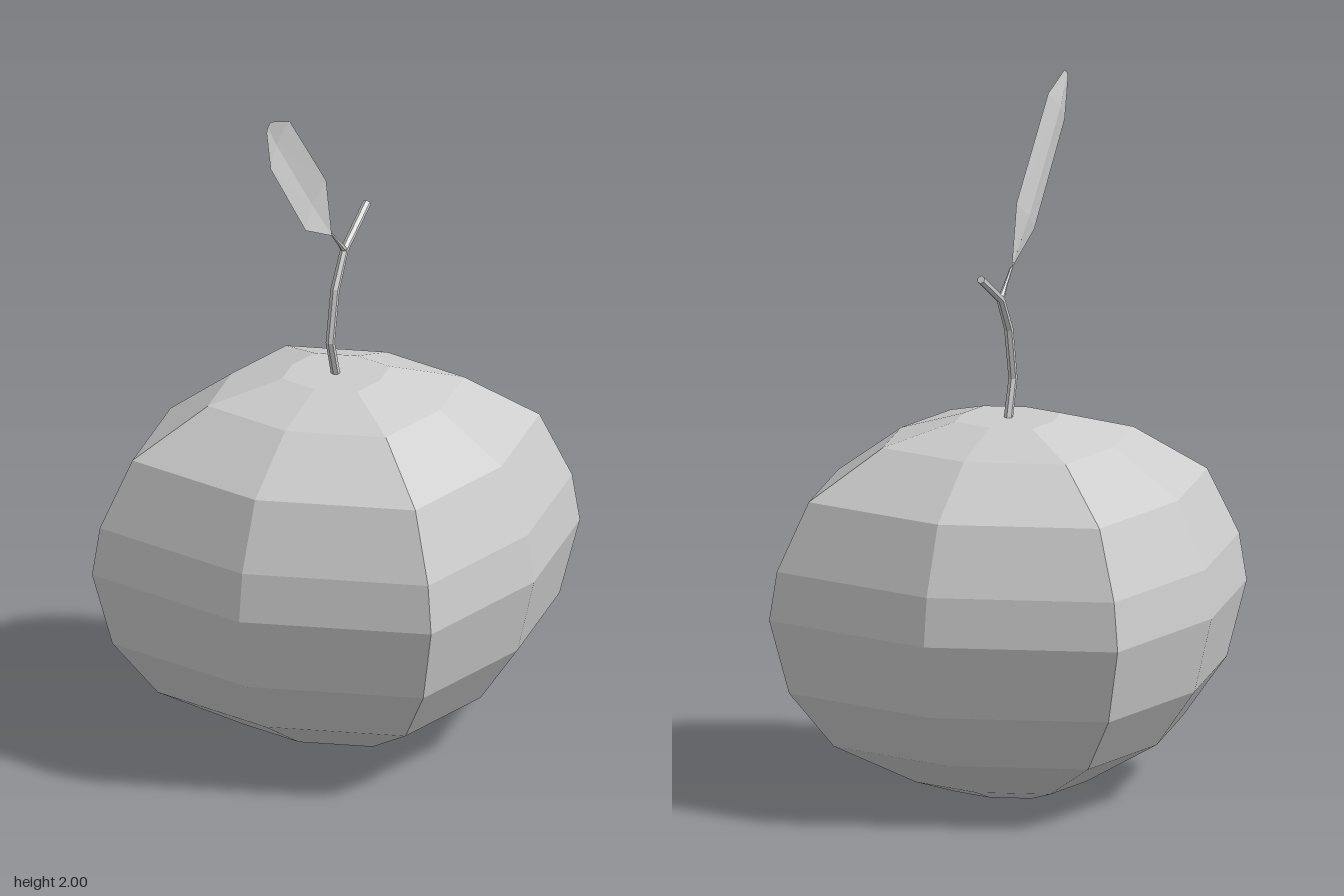
import * as THREE from 'three';

const grey = new THREE.MeshStandardMaterial({ color: 0xcccccc, flatShading: true });
grey.name = 'plain grey';
const leafGrey = grey.clone();
leafGrey.name = 'plain grey leaf';
leafGrey.side = THREE.DoubleSide;

// Eight-sided lathe, its diagonal corners pushed out to give a squarish plan
function fruitGeometry() {
  const profile = [
    [0, 0], [0.135, 0.002], [0.24, 0.04], [0.455, 0.165], [0.571, 0.33], [0.623, 0.547],
    [0.603, 0.687], [0.52, 0.882], [0.327, 1.022], [0.138, 1.08], [0, 1.08],
  ].map(([r, y]) => new THREE.Vector2(r, y));
  const geometry = new THREE.LatheGeometry(profile, 8);
  const pos = geometry.attributes.position;
  for (let i = 0; i < pos.count; i++) {
    const x = pos.getX(i), z = pos.getZ(i);
    const corner = Math.abs(x) > 1e-4 && Math.abs(z) > 1e-4;
    pos.setX(i, x * (corner ? 1.21 : 1));
    pos.setZ(i, z * (corner ? 1.113 : 1.025));
  }
  geometry.computeVertexNormals();
  return geometry;
}

function buildGeometry(points, index) {
  const geometry = new THREE.BufferGeometry();
  geometry.setAttribute('position', new THREE.Float32BufferAttribute(points.flat(), 3));
  geometry.setIndex(index);
  geometry.computeVertexNormals();
  return geometry;
}

// Capped rod along a bent path in the x = 0 plane; path entries are [z, y, radius]
function rodGeometry(path, sides = 6) {
  const points = [], index = [];
  path.forEach(([z, y, r], i) => {
    const before = path[Math.max(i - 1, 0)], after = path[Math.min(i + 1, path.length - 1)];
    const t = new THREE.Vector2(after[0] - before[0], after[1] - before[1]).normalize();
    for (let j = 0; j < sides; j++) {
      const a = (j / sides) * Math.PI * 2;
      points.push([r * Math.sin(a), y - r * Math.cos(a) * t.x, z + r * Math.cos(a) * t.y]);
      if (i === path.length - 1) continue;
      const p = i * sides + j, q = i * sides + (j + 1) % sides;
      index.push(p, q, p + sides, q, q + sides, p + sides);
    }
  });
  const last = (path.length - 1) * sides;
  for (let j = 1; j < sides - 1; j++) {
    index.push(0, j + 1, j, last, last + j, last + j + 1);
  }
  return buildGeometry(points, index);
}

// Leaf blade from cross-sections: lower edge, midrib and upper edge
function leafGeometry() {
  const sections = [
    [0.022, 1.505, 0.028, 1.511, 0],
    [0.2, 1.585, 0.065, 1.69, -0.012],
    [0.43, 1.855, 0.305, 1.957, -0.013],
    [0.457, 1.975, 0.43, 2.0, -0.003],
  ];
  const points = [], index = [];
  sections.forEach(([z0, y0, z1, y1, rib], i) => {
    points.push([0, y0, z0], [rib, (y0 + y1) / 2, (z0 + z1) / 2], [0, y1, z1]);
    if (i === sections.length - 1) return;
    for (const p of [i * 3, i * 3 + 1]) index.push(p, p + 3, p + 1, p + 1, p + 3, p + 4);
  });
  return buildGeometry(points, index);
}

export function createModel() {
  const model = new THREE.Group();
  model.name = 'fruit';
  const add = (name, geometry, material = grey) => {
    const mesh = new THREE.Mesh(geometry, material);
    mesh.name = name;
    model.add(mesh);
  };

  add('body', fruitGeometry());
  add('stem', rodGeometry([
    [0.0, 1.07, 0.013], [0.038, 1.185, 0.013], [0.006, 1.335, 0.013],
    [-0.055, 1.435, 0.012], [-0.205, 1.525, 0.012],
  ]));
  add('leafStalk', rodGeometry([[-0.055, 1.435, 0.01], [-0.02, 1.468, 0.006], [0.026, 1.51, 0.004]]));
  add('leaf', leafGeometry(), leafGrey);
  return model;
}
